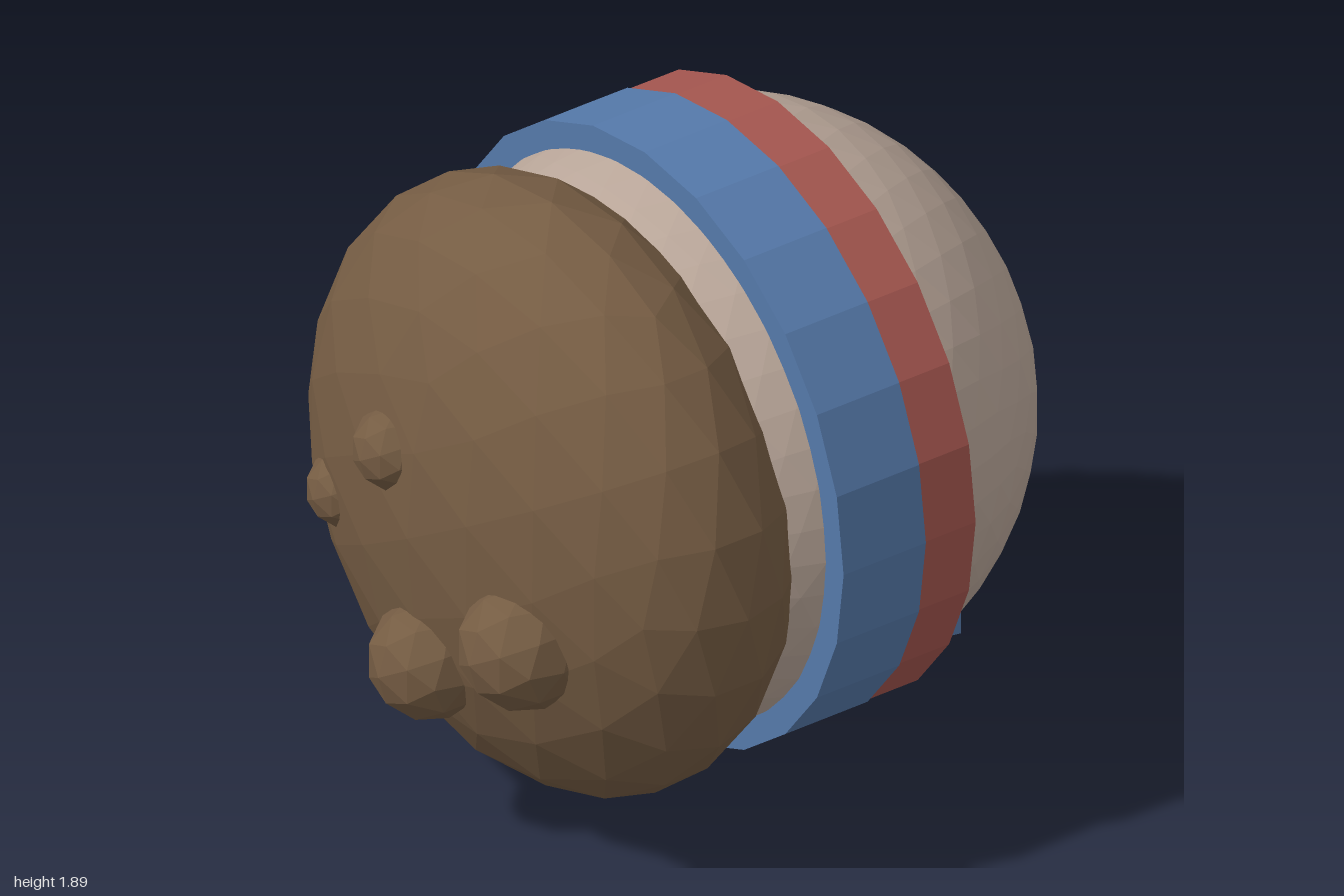
import * as THREE from 'three';

const flat = (color) => new THREE.MeshStandardMaterial({ color, flatShading: true });

export function createModel() {
  const model = new THREE.Group();
  const tan = flat(0xb8a598);
  const brown = flat(0x755c43);
  const blue = flat(0x5579aa);
  const red = flat(0xa4564f);

  const add = (name, geometry, material, x, y, z) => {
    const mesh = new THREE.Mesh(geometry, material);
    mesh.name = name;
    mesh.position.set(x, y, z);
    model.add(mesh);
    return mesh;
  };
  const ball = (name, r, detail, material, x, y, z) =>
    add(name, new THREE.IcosahedronGeometry(r, detail), material, x, y, z);

  // Round body
  ball('body', 0.85, 7, tan, 0, 1, -0.15);

  // Squashed front mass with four lumps
  ball('frontMass', 0.88, 3, brown, 0, 0.967, 0.415).scale.z = 0.55;
  const lumps = [
    [0.12, -0.15, 1.155, 0.825],
    [0.11, -0.46, 0.85, 0.76],
    [0.182, 0.375, 0.78, 0.79],
    [0.17, 0, 0.565, 0.825],
  ];
  for (const [r, x, y, z] of lumps) ball('lump', r, 1, brown, x, y, z);

  // Two bands around the body
  const band = (name, r, depth, material, z) =>
    add(name, new THREE.CylinderGeometry(r, r, depth, 24).rotateX(Math.PI / 2), material, 0, 1, z);
  band('blueBand', 0.89, 0.275, blue, -0.0325);
  band('redBand', 0.885, 0.17, red, -0.255);

  // Knot and its two loose ends underneath
  ball('knot', 0.14, 3, blue, 0, 0.14, -0.145);
  const looseEnd = (name, length, x, z, angle) => {
    const geometry = new THREE.BoxGeometry(0.1, 0.065, length);
    add(name, geometry, blue, x, 0.1725, z).rotation.y = angle;
  };
  looseEnd('leftLooseEnd', 0.43, 0.11, -0.6, -0.2);
  looseEnd('rightLooseEnd', 0.53, -0.15, -0.655, 0.2);

  return model;
}
